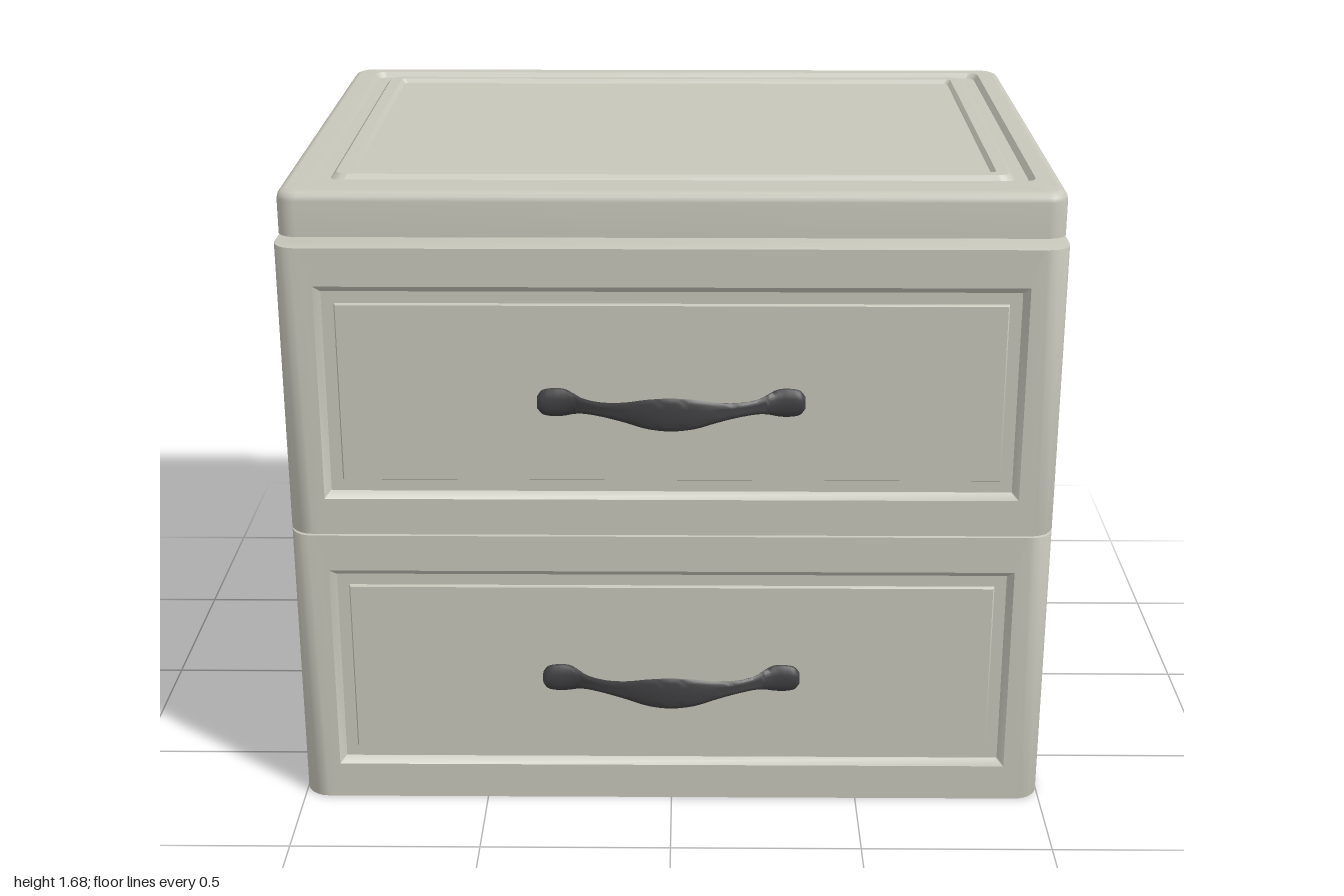
import * as THREE from 'three';
import { toCreasedNormals } from 'three/addons/utils/BufferGeometryUtils.js';

// Skin stacked rings of equal point count, capped at both ends
function skin(rings, crease) {
  const n = rings[0].length;
  const pos = rings.flat().flatMap((p) => p);
  const idx = [];
  for (let k = 0; k < rings.length - 1; k++) {
    for (let i = 0; i < n; i++) {
      const a = k * n + i, b = k * n + (i + 1) % n;
      idx.push(a, b, b + n, a, b + n, a + n);
    }
  }
  const last = (rings.length - 1) * n;
  for (let i = 1; i < n - 1; i++) {
    idx.push(0, i + 1, i, last, last + i, last + i + 1);
  }
  const g = new THREE.BufferGeometry();
  g.setAttribute('position', new THREE.Float32BufferAttribute(pos, 3));
  g.setIndex(idx);
  return toCreasedNormals(g, crease);
}

// Rounded rectangle ring: half width, half height, depth, corner radius, y shift.
// A short straight step beside each corner keeps the flat sides evenly shaded.
function roundRing([hx, hy, z, r = 0.002, cy = 0]) {
  const pts = [];
  const corners = [[1, 1], [-1, 1], [-1, -1], [1, -1]];
  corners.forEach(([sx, sy], c) => {
    for (let i = -1; i <= 7; i++) {
      const t = Math.min(Math.max(i, 0), 6);
      const e = (i - t) * 0.002;
      const a = (c + t / 6) * Math.PI / 2;
      pts.push([
        sx * (hx - r) + r * Math.cos(a) - e * Math.sin(a),
        cy + sy * (hy - r) + r * Math.sin(a) + e * Math.cos(a), z,
      ]);
    }
  });
  return pts;
}

const moulded = (loops) => skin(loops.map(roundRing), 0.6);

// Curved pull: ellipses swept along x, from [x, z, half height, half depth]
function handleGeometry() {
  const half = [
    [0, 0.86, 0.044, 0.008], [0.06, 0.856, 0.039, 0.008], [0.12, 0.842, 0.026, 0.008],
    [0.18, 0.82, 0.019, 0.008], [0.225, 0.796, 0.021, 0.009], [0.25, 0.778, 0.029, 0.014],
    [0.27, 0.77, 0.036, 0.017], [0.3, 0.769, 0.038, 0.017], [0.328, 0.769, 0.032, 0.016],
    [0.34, 0.769, 0.016, 0.013],
  ];
  const rows = [...half.slice(1).reverse().map(([x, ...r]) => [-x, ...r]), ...half];
  const centre = new THREE.CatmullRomCurve3(rows.map((r) => new THREE.Vector3(r[0], r[1], 0)));
  const size = new THREE.CatmullRomCurve3(rows.map((r) => new THREE.Vector3(r[0], r[2], r[3])));
  const rings = [];
  for (let k = 0; k <= 72; k++) {
    const c = centre.getPoint(k / 72), s = size.getPoint(k / 72);
    const ring = [];
    for (let i = 0; i < 16; i++) {
      const a = i / 16 * Math.PI * 2;
      ring.push([c.x, s.y * Math.cos(a), c.y + s.z * Math.sin(a)]);
    }
    rings.push(ring);
  }
  return skin(rings, 0.8);
}

export function createModel() {
  const model = new THREE.Group();
  model.name = 'drawerCabinet';
  const body = new THREE.MeshStandardMaterial({ color: 0xc8c7bb });
  body.name = 'warmGreyPlastic';
  const dark = new THREE.MeshStandardMaterial({ color: 0x404042 });
  dark.name = 'darkHandle';

  const add = (parent, name, geometry, x = 0, y = 0, z = 0, material = body) => {
    const mesh = new THREE.Mesh(geometry, material);
    mesh.name = name;
    mesh.position.set(x, y, z);
    parent.add(mesh);
    return mesh;
  };
  // Box from its lower and upper limits
  const slab = (parent, name, x0, x1, y0, y1, z0, z1) => add(parent, name,
    new THREE.BoxGeometry(x1 - x0, y1 - y0, z1 - z0),
    (x0 + x1) / 2, (y0 + y1) / 2, (z0 + z1) / 2);

  // Drawer front: rounded vertical edges, then a grooved raised field
  const H = 0.3875;
  const frontLoops = [[1, H, 0], [1, H, 0.068]];
  for (let i = 0; i <= 6; i++) {
    const a = i / 6 * Math.PI / 2;
    frontLoops.push([0.935 + 0.065 * Math.cos(a), H, 0.07 + 0.065 * Math.sin(a)]);
  }
  frontLoops.push([0.933, H, 0.135], [0.9, 0.288, 0.135], [0.883, 0.271, 0.117],
    [0.852, 0.24, 0.117], [0.848, 0.236, 0.125]);
  const front = moulded(frontLoops);

  // Side wall with a rounded groove
  const wall = moulded([
    [0.6975, 0.389, 0], [0.6975, 0.389, 0.07],
    [0.545, 0.3075, 0.07, 0.05, 0.0075], [0.537, 0.2995, 0.058, 0.045, 0.0075],
    [0.508, 0.2705, 0.058, 0.025, 0.0075], [0.5, 0.2625, 0.067, 0.02, 0.0075],
  ]);
  // Tapered inner lining of each side wall
  const liner = moulded([[0.03, 0.69, 0], [0.012, 0.69, 0.73]]);

  // Open drawer tub with a rim
  const tub = moulded([
    [0.865, 0.645, 0.03, 0.02], [0.87, 0.67, 0.705, 0.02], [0.91, 0.7, 0.705, 0.02],
    [0.91, 0.7, 0.74, 0.02], [0.85, 0.65, 0.74, 0.02], [0.84, 0.62, 0.05, 0.02],
  ]);
  const pull = handleGeometry();

  // Two stacked units
  ['lowerUnit', 'upperUnit'].forEach((name, k) => {
    const unit = new THREE.Group();
    unit.name = name;
    unit.position.y = 0.78 * k;
    model.add(unit);
    add(unit, 'drawerFront', front, 0, H, 0.605);
    add(unit, 'drawerTub', tub).rotation.x = -Math.PI / 2;
    add(unit, 'handle', pull, 0, 0.38, 0, dark);
    slab(unit, 'floor', -0.93, 0.93, k ? -0.02 : 0, 0.03, -0.79, 0.605);
    for (const s of [-1, 1]) {
      add(unit, 'sideWall', wall, s * 0.93, 0.39, -0.0925).rotation.y = s * Math.PI / 2;
      add(unit, 'wallLiner', liner, s * 0.93, 0.02, -0.095).rotation.x = -Math.PI / 2;
    }
  });

  // Rear lip of the base
  slab(model, 'rearLip', -0.935, 0.935, 0, 0.065, -0.87, -0.76);

  // Lid with rounded edge, sunken channel and raised border
  const lid = moulded([
    [1, 0.75, 0, 0.05], [1, 0.75, 0.09, 0.05], [1, 0.75, 0.092, 0.05],
    [0.997, 0.747, 0.104, 0.048], [0.99, 0.74, 0.112, 0.043],
    [0.978, 0.728, 0.117, 0.035], [0.976, 0.726, 0.117, 0.035],
    [0.932, 0.658, 0.117, 0.03, 0.0325], [0.92, 0.646, 0.102, 0.025, 0.0325],
    [0.885, 0.607, 0.102, 0.035, 0.0275], [0.872, 0.594, 0.117, 0.03, 0.0275],
    [0.84, 0.565, 0.117, 0.012, 0.03], [0.83, 0.555, 0.105, 0.008, 0.03],
  ]);
  add(model, 'lid', lid, 0, 1.56, -0.095).rotation.x = -Math.PI / 2;

  return model;
}
